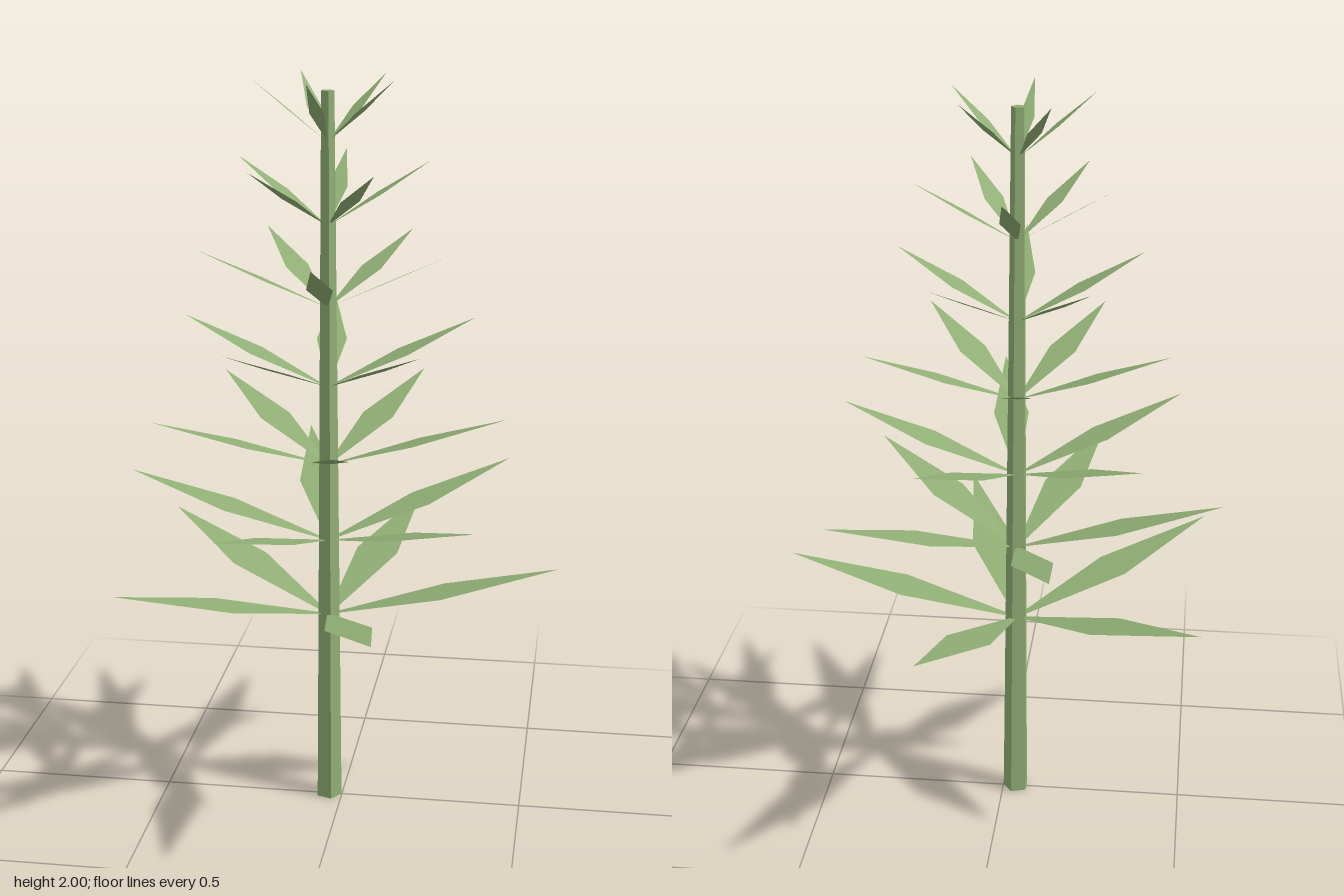
import * as THREE from 'three';

const green = new THREE.MeshStandardMaterial({ color: 0x8fae74, flatShading: true, side: THREE.DoubleSide });
green.name = 'leaf green';

const STEM_X = -0.037;
const STEM_HEIGHT = 1.967;

// Flat diamond blade along +x, widest halfway, rising evenly to its tip
function leafGeometry(length, rise) {
  const start = 0.015, mid = length / 2, half = length * 0.1, root = half * 0.1;
  const shape = new THREE.Shape([
    new THREE.Vector2(start, -root),
    new THREE.Vector2(mid, -half),
    new THREE.Vector2(length, 0),
    new THREE.Vector2(mid, half),
    new THREE.Vector2(start, root),
  ]);
  const geometry = new THREE.ShapeGeometry(shape);
  geometry.rotateX(-Math.PI / 2);
  const pos = geometry.attributes.position;
  for (let i = 0; i < pos.count; i++) pos.setY(i, (pos.getX(i) / length) * rise);
  geometry.computeVertexNormals();
  return geometry;
}

export function createModel() {
  const plant = new THREE.Group();
  plant.name = 'plant';

  // Tapered five-sided stem, one corner towards +x
  const stemGeometry = new THREE.CylinderGeometry(0.018, 0.036, STEM_HEIGHT, 5, 1, false, Math.PI / 2);
  const stem = new THREE.Mesh(stemGeometry, green);
  stem.name = 'stem';
  stem.position.set(STEM_X, STEM_HEIGHT / 2, 0);
  plant.add(stem);

  // Seven rings of five leaves, shorter towards the top, each ring turned by 0.7 rad
  for (let ring = 0; ring < 7; ring++) {
    const whorl = new THREE.Group();
    whorl.name = `leafRing${ring + 1}`;
    whorl.position.set(STEM_X, 0.547 + ring * 0.215, 0);
    const geometry = leafGeometry(0.626 - ring * 0.0715, 0.164);
    for (let i = 0; i < 5; i++) {
      const leaf = new THREE.Mesh(geometry, green);
      leaf.name = 'leaf';
      leaf.rotation.y = -(ring * 0.7 + (i * Math.PI * 2) / 5);
      whorl.add(leaf);
    }
    plant.add(whorl);
  }
  return plant;
}
